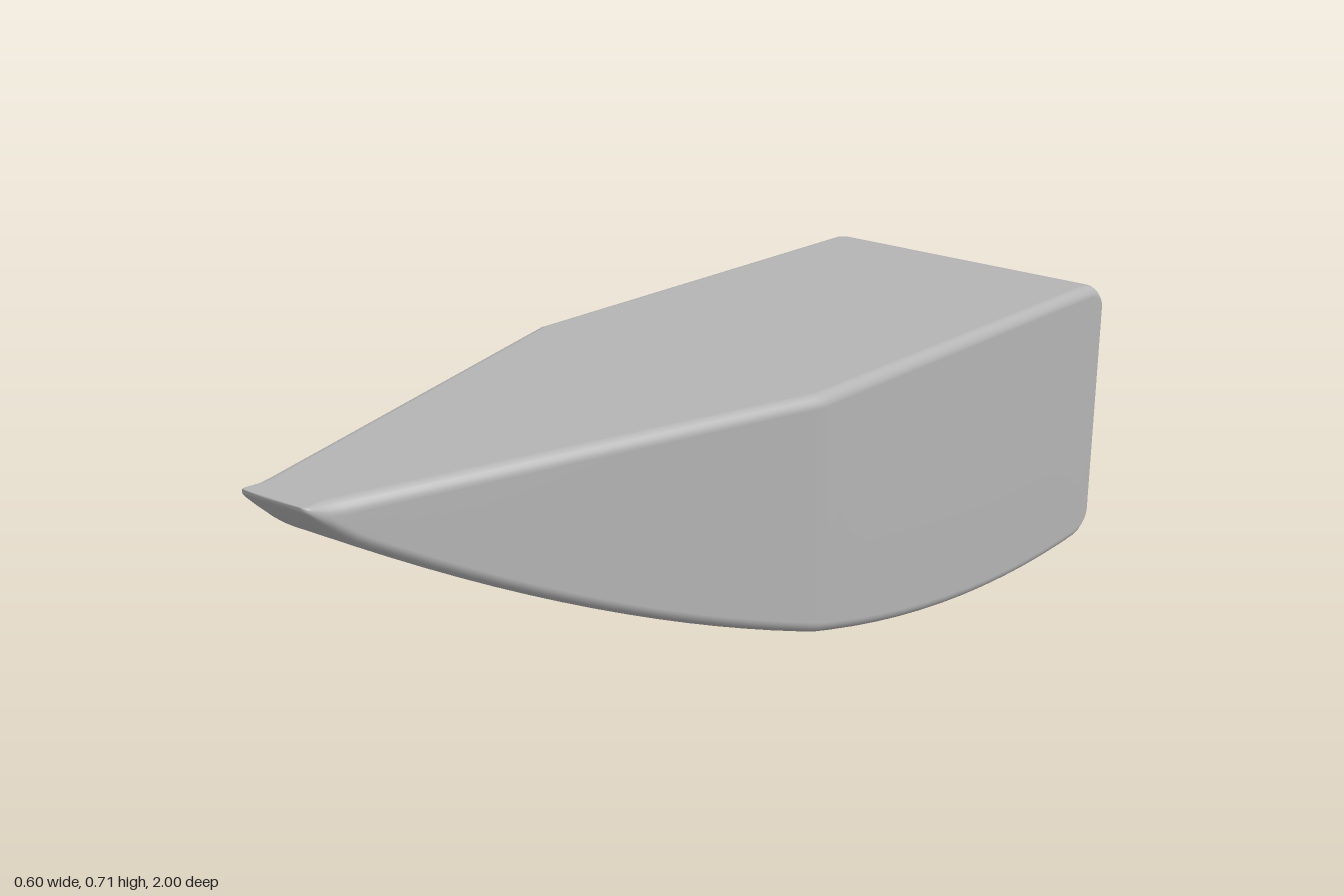
import * as THREE from 'three';

// inset of a rounded edge of radius r at distance d from the end
const arc = (d, r) => (d < r ? r - Math.sqrt(r * r - (r - d) ** 2) : 0);

// outline of the wedge along its length
const topAt = (z) => 0.626 + 0.086 * z - arc(z + 1, 0.06);
const bottomAt = (z) =>
  0.177 + 0.341 * z + 0.164 * z * z + 2.4 * Math.max(0, z - 0.9) ** 2 + arc(z + 1, 0.06);
const halfWidthAt = (z) =>
  Math.min(0.3, 0.3 - 0.25 * (z - 0.05)) - arc(z + 1, 0.015) - arc(1 - z, 0.01);

// rounded rectangle, counter-clockwise seen from the front
function section(z, steps) {
  const w = halfWidthAt(z), t = topAt(z), b = bottomAt(z);
  const r = Math.min(0.022, (t - b) * 0.45);
  const pts = [];
  [[1, t - r], [-1, t - r], [-1, b + r], [1, b + r]].forEach(([side, cy], q) => {
    for (let i = 0; i <= steps; i++) {
      const a = (q + i / steps) * Math.PI / 2;
      pts.push([side * (w - r) + r * Math.cos(a), cy + r * Math.sin(a), z]);
    }
  });
  return pts;
}

function wedgeGeometry() {
  const zs = [-1, -0.9985, -0.995, -0.99, -0.985, -0.975, -0.96, -0.94];
  for (let z = -0.88; z < 0; z += 0.08) zs.push(z);
  zs.push(0.03, 0.05, 0.07);
  for (let z = 0.14; z < 0.89; z += 0.06) zs.push(z);
  zs.push(0.9, 0.92, 0.94, 0.96, 0.975, 0.99, 0.994, 0.998, 1);

  const steps = 6, n = 4 * (steps + 1);
  const pos = [], index = [];
  zs.forEach((z) => section(z, steps).forEach((p) => pos.push(...p)));
  for (let i = 0; i < zs.length - 1; i++) {
    for (let j = 0; j < n; j++) {
      const k = (j + 1) % n;
      const a = i * n + j, b = i * n + k;
      index.push(a, b, b + n, a, b + n, a + n);
    }
  }
  // end caps
  const back = pos.length / 3, front = back + 1, last = (zs.length - 1) * n;
  pos.push(0, (topAt(-1) + bottomAt(-1)) / 2, -1, 0, (topAt(1) + bottomAt(1)) / 2, 1);
  for (let j = 0; j < n; j++) {
    const k = (j + 1) % n;
    index.push(back, k, j, front, last + j, last + k);
  }
  const geo = new THREE.BufferGeometry();
  geo.setAttribute('position', new THREE.Float32BufferAttribute(pos, 3));
  geo.setIndex(index);
  geo.computeVertexNormals();
  return geo;
}

export function createModel() {
  const group = new THREE.Group();
  group.name = 'taperedWedge';
  const grey = new THREE.MeshStandardMaterial({ color: 0xb4b4b4 });
  grey.name = 'grey';
  const body = new THREE.Mesh(wedgeGeometry(), grey);
  body.name = 'wedgeBody';
  group.add(body);
  return group;
}
